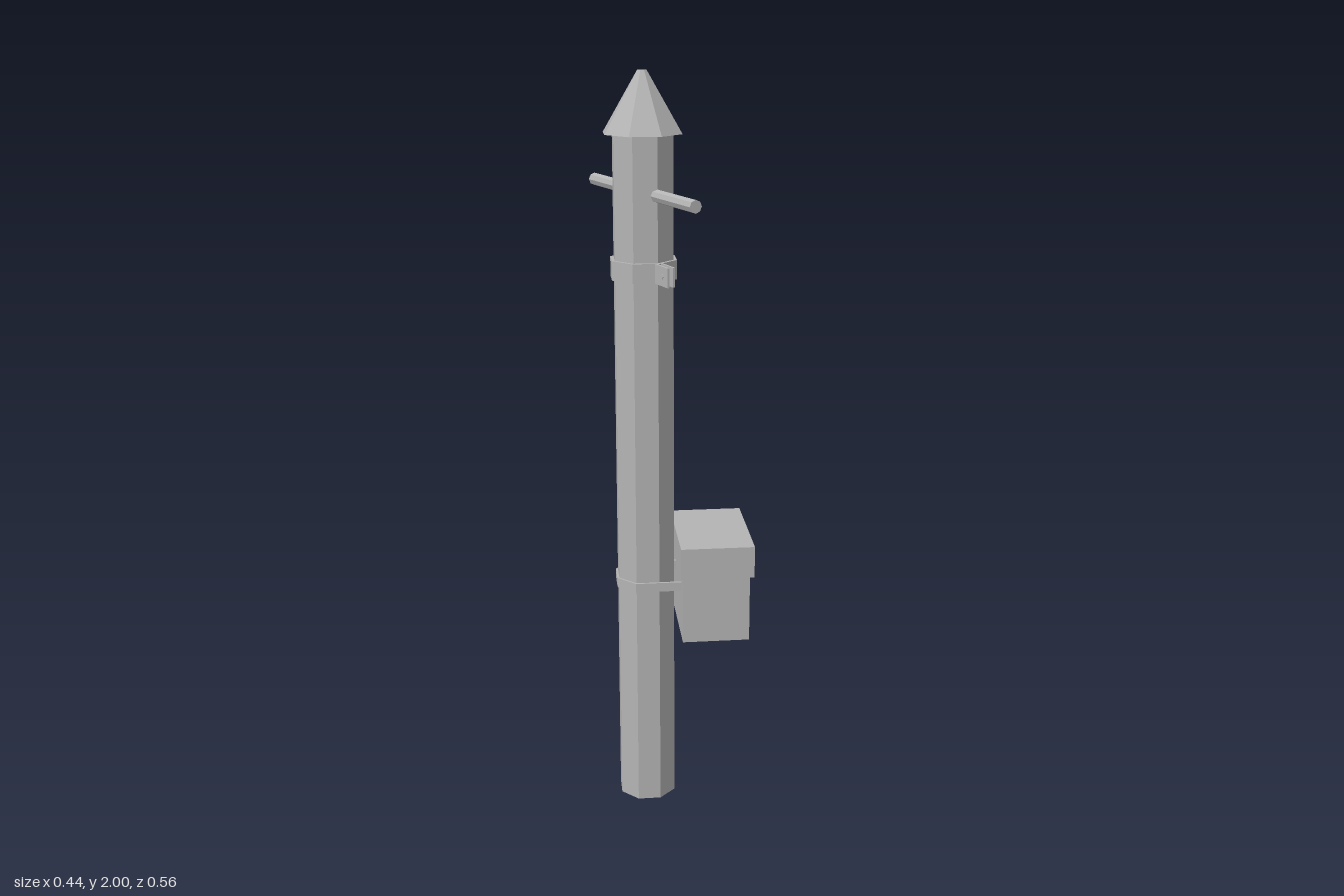
import * as THREE from 'three';

export function createModel() {
  const model = new THREE.Group();
  const grey = new THREE.MeshStandardMaterial({ color: 0xb4b4b4, flatShading: true });
  grey.name = 'plain grey';

  // everything is placed around the axis of the post
  const post = new THREE.Group();
  post.name = 'postAssembly';
  post.position.set(-0.115, 0, 0.004);
  model.add(post);

  function add(parent, name, geometry, x = 0, y = 0, z = 0) {
    const mesh = new THREE.Mesh(geometry, grey);
    mesh.name = name;
    mesh.position.set(x, y, z);
    parent.add(mesh);
    return mesh;
  }

  // point on an octagon, angle in degrees
  const polar = (r, deg) => new THREE.Vector2(
    r * Math.cos(deg * Math.PI / 180), r * Math.sin(deg * Math.PI / 180));

  // outline in plan, extruded from y = 0 up to the given height
  function plan(shape, height) {
    const g = new THREE.ExtrudeGeometry(shape, { depth: height, bevelEnabled: false });
    return g.rotateX(Math.PI / 2).translate(0, height, 0);
  }

  // octagonal post and pointed cap
  add(post, 'pole', new THREE.CylinderGeometry(0.081, 0.081, 1.85, 8), 0, 0.925, 0);
  add(post, 'cap', new THREE.CylinderGeometry(0.0125, 0.105, 0.153, 8), 0, 1.9235, 0);

  // crossbar through the top of the post
  const bar = new THREE.CylinderGeometry(0.0165, 0.0165, 0.564, 8).rotateX(Math.PI / 2);
  add(post, 'crossbar', bar, 0, 1.7, -0.005);

  // upper clamp: octagonal band with paired ears and a bolt on each side
  const ring = (r) => Array.from({ length: 8 }, (_, i) => polar(r, i * 45));
  const band = new THREE.Shape(ring(0.09));
  band.holes.push(new THREE.Path(ring(0.08)));
  add(post, 'clampBand', plan(band, 0.05), 0, 1.482, 0);
  for (const side of [1, -1]) {
    for (const x of [-0.008, 0.008]) {
      add(post, 'clampEar', new THREE.BoxGeometry(0.006, 0.05, 0.074), x, 1.507, side * 0.115);
    }
    const bolt = new THREE.CylinderGeometry(0.007, 0.007, 0.026, 6).rotateZ(Math.PI / 2);
    add(post, 'clampBolt', bolt, 0, 1.507, side * 0.125);
  }

  // box held on one face of the post, turned to match that face
  const mount = new THREE.Group();
  mount.name = 'mountedBox';
  mount.rotation.y = -Math.PI / 8;
  post.add(mount);
  add(mount, 'boxBody', new THREE.BoxGeometry(0.181, 0.187, 0.29), 0.181, 0.5935, -0.03);
  add(mount, 'boxLid', new THREE.BoxGeometry(0.198, 0.087, 0.3), 0.184, 0.7285, -0.03);

  // U-shaped strap from the back of the box around the post
  const angles = [112.5, 157.5, 202.5, 247.5];
  const half = (r) => {
    const bend = angles.map((a) => polar(r, a));
    const v = bend[0].y;
    return [new THREE.Vector2(0.092, v), ...bend, new THREE.Vector2(0.092, -v)];
  };
  const strap = new THREE.Shape([...half(0.087), ...half(0.08).reverse()]);
  add(mount, 'boxStrap', plan(strap, 0.025), 0, 0.637, 0);

  return model;
}
